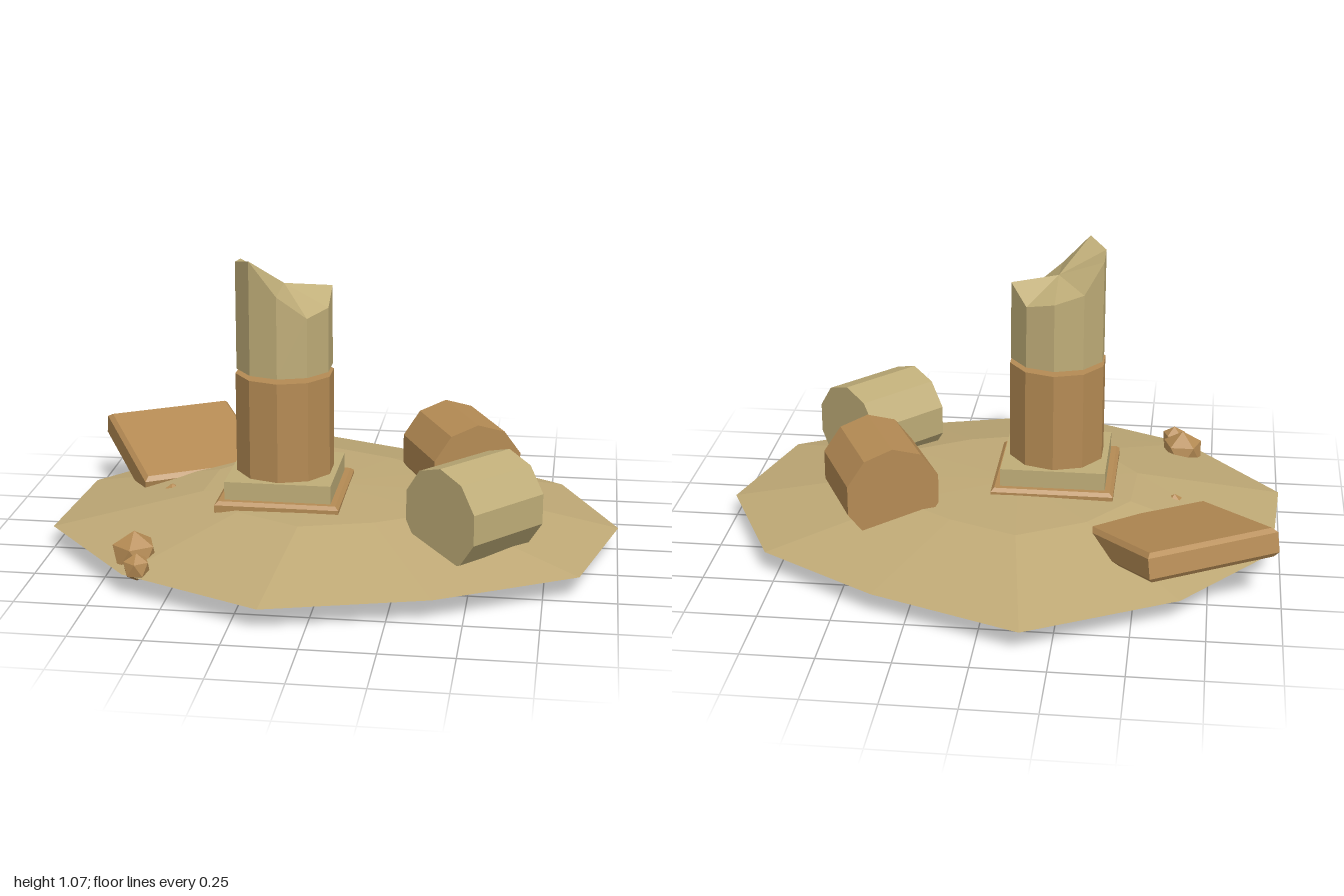
import * as THREE from 'three';

export function createModel() {
  const model = new THREE.Group();
  const material = (name, color) => new THREE.MeshStandardMaterial({ name, color, flatShading: true });
  const sand = material('sand', 0xbfa976);
  const paleStone = material('pale stone', 0xbfad78);
  const brownStone = material('brown stone', 0xb58b54);

  const add = (name, geometry, mat, x, y, z) => {
    const mesh = new THREE.Mesh(geometry, mat);
    mesh.name = name;
    mesh.position.set(x, y, z);
    model.add(mesh);
    return mesh;
  };

  // Box with chamfered edges, centred on its origin
  const chamferBox = (w, h, d, b) => {
    const x = w / 2 - b, z = d / 2 - b;
    const shape = new THREE.Shape([[-x, -z], [x, -z], [x, z], [-x, z]].map(p => new THREE.Vector2(...p)));
    const geometry = new THREE.ExtrudeGeometry(shape, {
      depth: h - 2 * b, bevelEnabled: true, bevelSize: b, bevelThickness: b, bevelSegments: 1,
    });
    return geometry.translate(0, 0, b - h / 2).rotateX(-Math.PI / 2);
  };

  // Sand mound: irregular rim, raised inner ring, centre and flat underside
  const rim = [
    [1, 0], [0.87, 0.48], [0.4, 0.74], [-0.15, 0.89], [-0.65, 0.66], [-1, 0.25],
    [-0.97, -0.25], [-0.66, -0.63], [-0.15, -0.9], [0.37, -0.7], [0.79, -0.44],
  ];
  const n = rim.length;
  const points = [
    ...rim.map(([x, z]) => [x, 0.08, z]),
    ...rim.map(([x, z]) => [x * 0.46 - 0.02, 0.192, z * 0.48]),
    [-0.05, 0.203, 0], [0, 0.08, 0],
  ];
  const faces = [];
  for (let i = 0; i < n; i++) {
    const j = (i + 1) % n;
    faces.push(i, n + i, j, j, n + i, n + j);
    faces.push(n + i, 2 * n, n + j);
    faces.push(i, j, 2 * n + 1);
  }
  const mound = new THREE.BufferGeometry();
  mound.setAttribute('position', new THREE.Float32BufferAttribute(points.flat(), 3));
  mound.setIndex(faces);
  mound.computeVertexNormals();
  add('sandMound', mound, sand, 0, 0, 0);

  // Pedestal and lower column drum
  const cx = -0.185, cz = 0.085;
  add('pedestalBase', chamferBox(0.437, 0.05, 0.437, 0.012), brownStone, cx, 0.195, cz);
  add('pedestalTop', new THREE.BoxGeometry(0.375, 0.07, 0.375), paleStone, cx, 0.25, cz);
  add('lowerDrum', new THREE.CylinderGeometry(0.175, 0.175, 0.36, 10), brownStone, cx, 0.463, cz);

  // Upper column drum with a broken top, one height per corner
  const heights = [0.95, 0.87, 0.89, 0.945, 0.885, 0.907, 0.935, 1.03, 1.042, 1.065];
  const broken = new THREE.CylinderGeometry(0.171, 0.171, 0.4, 10);
  const pos = broken.attributes.position;
  for (let i = 0; i < pos.count; i++) {
    const x = pos.getX(i), z = pos.getZ(i);
    if (pos.getY(i) < 0) pos.setY(i, 0.66);
    else if (Math.hypot(x, z) < 0.01) pos.setY(i, 0.96);
    else pos.setY(i, heights[(Math.round(Math.atan2(x, z) / (Math.PI / 5)) + 10) % 10]);
  }
  broken.computeVertexNormals();
  add('brokenDrum', broken, paleStone, cx, 0, cz);

  // Fallen drums lying on the mound
  const fallen = (name, mat, x, z, turn) => {
    const geometry = new THREE.CylinderGeometry(0.173, 0.173, 0.326, 10).rotateX(Math.PI / 2);
    add(name, geometry, mat, x, 0.264, z).rotation.y = turn;
  };
  fallen('fallenBrownDrum', brownStone, 0.423, -0.165, 0.443);
  fallen('fallenPaleDrum', paleStone, 0.507, 0.35, -0.73);

  // Tilted slab sunk into the sand
  const slab = add('tiltedSlab', chamferBox(0.49, 0.1, 0.505, 0.015), brownStone, -0.645, 0.18, -0.38);
  slab.rotation.set(0.225, Math.PI / 6, 0, 'YXZ');

  // Rubble stones: x, y, z, radius
  const rubble = [
    [-0.635, 0.105, 0.53, 0.083], [-0.6, 0.106, 0.65, 0.049], [-0.62, 0.11, 0, 0.062],
    [-0.48, 0.092, 0.24, 0.045], [0.34, 0.075, 0, 0.075], [0.43, 0.09, 0.32, 0.06],
  ];
  rubble.forEach(([x, y, z, r], i) => {
    const stone = new THREE.IcosahedronGeometry(r, 0).rotateX(-1.017).rotateY(i * 1.3);
    add('rubble' + (i + 1), stone, brownStone, x, y, z);
  });

  return model;
}
